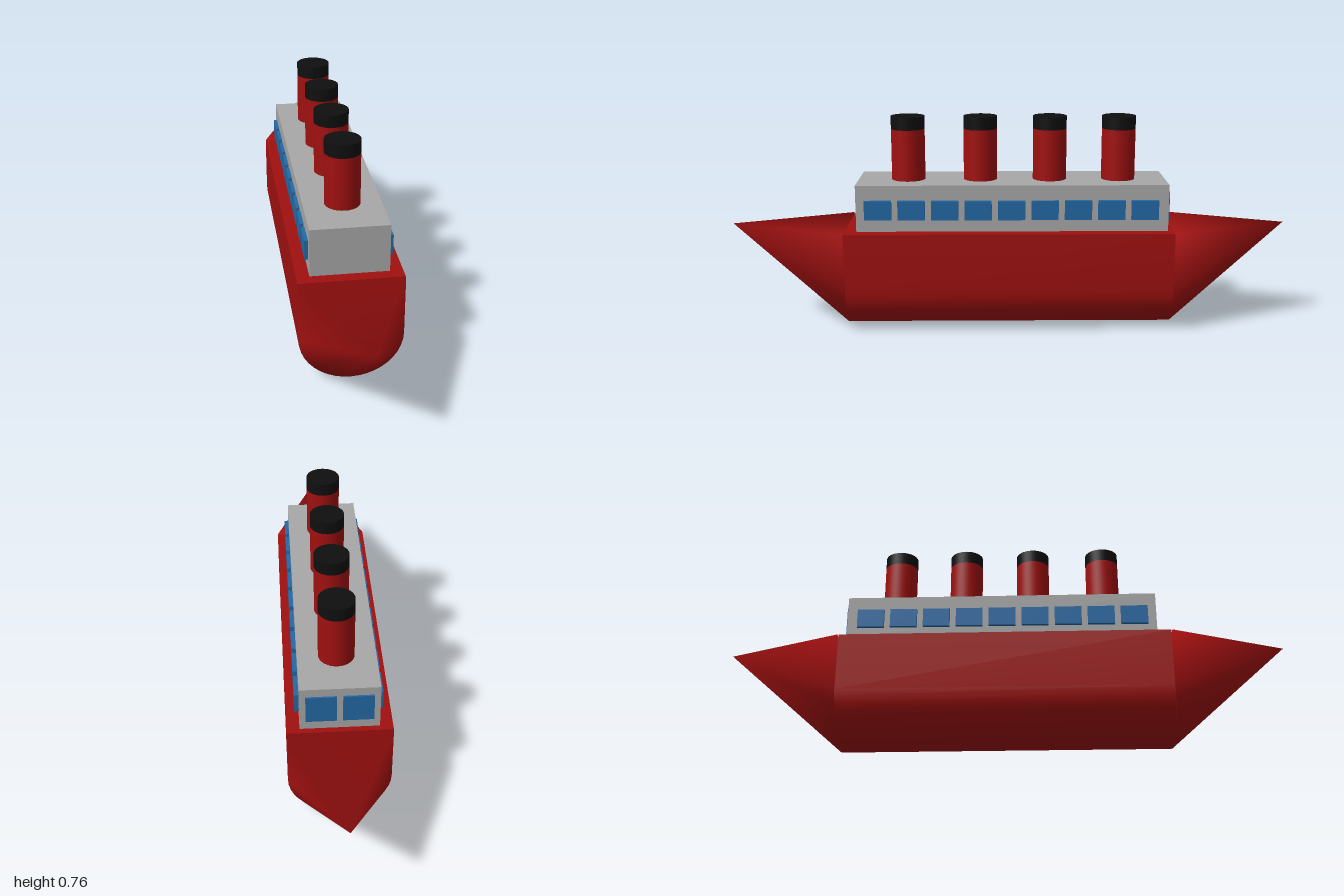
import * as THREE from 'three';
import { toCreasedNormals } from 'three/addons/utils/BufferGeometryUtils.js';

const material = (name, color) => {
  const m = new THREE.MeshStandardMaterial({ color });
  m.name = name;
  return m;
};

const HALF_WIDTH = 0.173, DECK = 0.365, BILGE = 0.158, HULL_END = 0.58;

// U-shaped hull section, from one deck edge under the keel to the other
function hullSection(segments = 20) {
  const points = [new THREE.Vector2(-HALF_WIDTH, DECK)];
  for (let i = 0; i <= segments; i++) {
    const a = Math.PI * (1 + i / segments);
    points.push(new THREE.Vector2(HALF_WIDTH * Math.cos(a), BILGE + BILGE * Math.sin(a)));
  }
  points.push(new THREE.Vector2(HALF_WIDTH, DECK));
  return points;
}

// Closed point running from the hull section to a tip at deck height, softly shaded
function pointedEnd(section) {
  const n = section.length, positions = [], index = [];
  section.forEach(p => positions.push(p.x, p.y, HULL_END + 0.004));
  positions.push(0, DECK, 1);
  for (let i = 0; i < n; i++) {
    index.push(i, (i + 1) % n, n);
    if (i > 0 && i < n - 1) index.push(0, i + 1, i);
  }
  const geometry = new THREE.BufferGeometry();
  geometry.setAttribute('position', new THREE.Float32BufferAttribute(positions, 3));
  geometry.setIndex(index);
  geometry.computeVertexNormals();
  return geometry;
}

export function createModel() {
  const model = new THREE.Group();
  model.name = 'steamship';
  const red = material('hull red', 0xa01010);
  const grey = material('cabin grey', 0xa8a8a8);
  const blue = material('window blue', 0x2369a5);
  const black = material('funnel black', 0x0f0f0f);

  const add = (name, geometry, mat, x = 0, y = 0, z = 0) => {
    const mesh = new THREE.Mesh(geometry, mat);
    mesh.name = name;
    mesh.position.set(x, y, z);
    model.add(mesh);
    return mesh;
  };

  // Hull with pointed bow and stern
  const section = hullSection();
  const hull = new THREE.ExtrudeGeometry(new THREE.Shape(section), { depth: 2 * HULL_END, bevelEnabled: false });
  add('hull', toCreasedNormals(hull, 0.4), red, 0, 0, -HULL_END);
  const end = pointedEnd(section);
  add('bow', end, red);
  add('stern', end, red).rotation.y = Math.PI;

  // Cabin
  add('cabin', new THREE.BoxGeometry(0.26, 0.165, 1.098), grey, 0, 0.4475, -0.011);

  // Raised windows along both sides
  const sideWindow = new THREE.BoxGeometry(0.02, 0.068, 0.095);
  for (let i = 0; i < 9; i++) {
    const z = 0.46 - i * 0.117;
    add('leftWindow', sideWindow, blue, 0.135, 0.443, z);
    add('rightWindow', sideWindow, blue, -0.132, 0.443, z);
  }

  // Two large windows at the back of the cabin
  const backWindow = new THREE.BoxGeometry(0.1, 0.1, 0.014);
  for (const x of [-0.06, 0.06]) add('backWindow', backWindow, blue, x, 0.45, -0.559);

  // Four funnels with black tops
  const funnel = new THREE.CylinderGeometry(0.06, 0.06, 0.183, 32);
  const funnelTop = new THREE.CylinderGeometry(0.06, 0.06, 0.045, 32);
  for (const z of [0.36, 0.102, -0.146, -0.392]) {
    add('funnel', funnel, red, 0.001, 0.6205, z);
    add('funnelTop', funnelTop, black, 0.001, 0.7345, z);
  }
  return model;
}
